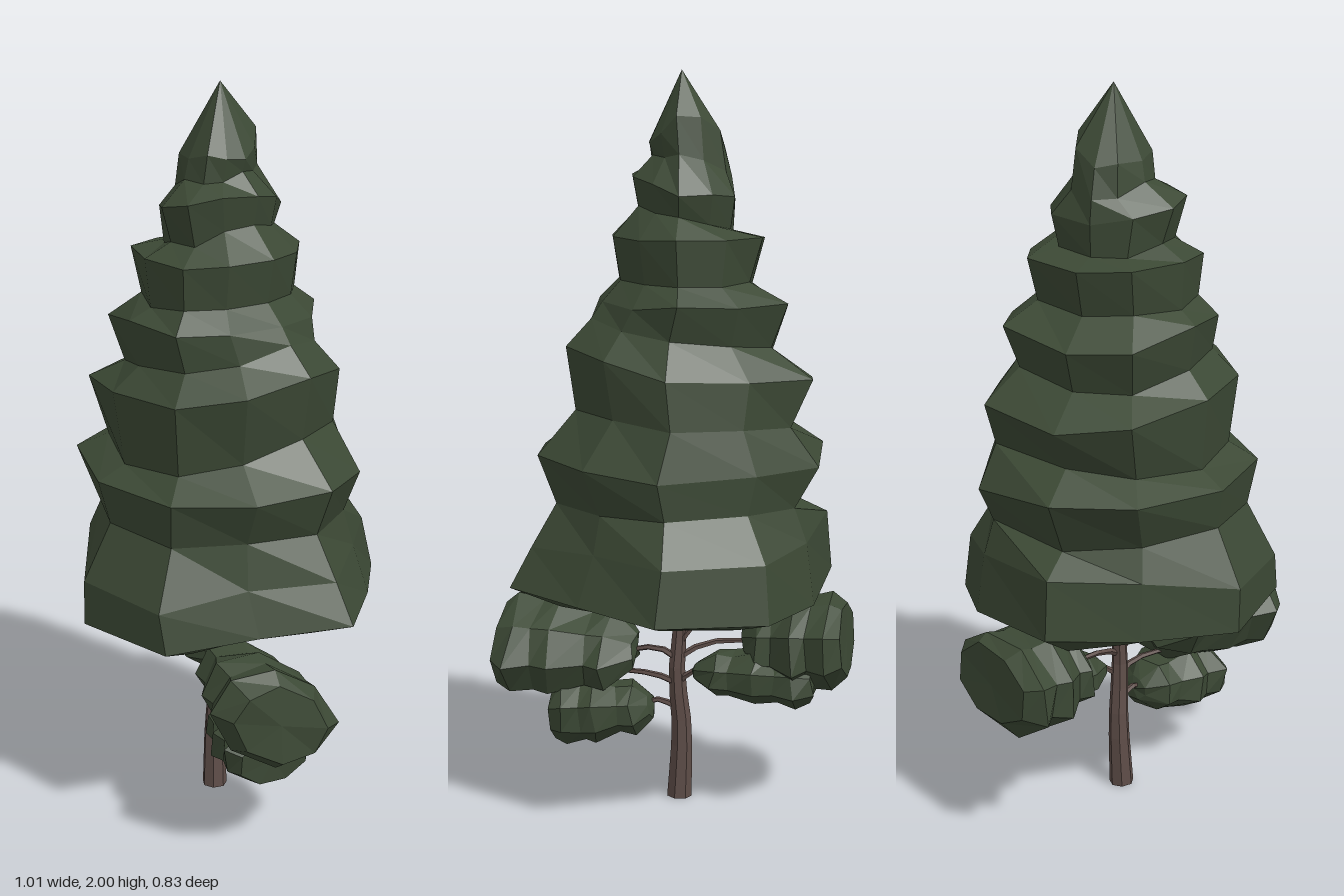
import * as THREE from 'three';

const foliage = new THREE.MeshStandardMaterial({ color: 0x3c4935 });
foliage.name = 'dark green foliage';
const bark = new THREE.MeshStandardMaterial({ color: 0x5e4d48 });
bark.name = 'brown bark';

// Repeatable small variation between -1 and 1
function makeNoise(seed) {
  let s = seed;
  return () => {
    s = (s * 16807) % 2147483647;
    return (s / 2147483647) * 2 - 1;
  };
}

// Faceted closed skin over a start point, loops of equal length and an end point
function loft(start, rings, end) {
  const n = rings[0].length;
  const points = [start, ...rings.flat(), end];
  const last = points.length - 1;
  const index = [];
  for (let i = 0; i < n; i++) {
    const j = (i + 1) % n;
    index.push(0, 1 + j, 1 + i);
    for (let r = 0; r < rings.length - 1; r++) {
      const a = 1 + r * n, b = a + n;
      index.push(a + i, a + j, b + i, a + j, b + j, b + i);
    }
    const e = last - n;
    index.push(e + i, e + j, last);
  }
  const indexed = new THREE.BufferGeometry();
  indexed.setAttribute('position', new THREE.Float32BufferAttribute(points.flat(), 3));
  indexed.setIndex(index);
  const geometry = indexed.toNonIndexed();
  geometry.computeVertexNormals();
  return geometry;
}

function add(group, name, geometry, material) {
  const mesh = new THREE.Mesh(geometry, material);
  mesh.name = name;
  group.add(mesh);
  return mesh;
}

// Main crown: height and reach of each tier at +x, +z, -x and -z, and fullness of its diagonal corners
const tiers = [
  [1.82, 0.08, 1.82, 0.09, 1.80, 0.13, 1.88, 0.09, 1.1],
  [1.77, 0.07, 1.76, 0.10, 1.72, 0.15, 1.77, 0.10, 1.1],
  [1.73, 0.125, 1.70, 0.18, 1.66, 0.16, 1.67, 0.17, 1.1],
  [1.65, 0.11, 1.60, 0.15, 1.58, 0.155, 1.61, 0.15, 1.12],
  [1.57, 0.18, 1.57, 0.22, 1.56, 0.245, 1.56, 0.22, 1.14],
  [1.45, 0.16, 1.45, 0.21, 1.43, 0.21, 1.45, 0.21, 1.12],
  [1.39, 0.21, 1.40, 0.26, 1.37, 0.31, 1.40, 0.27, 1.16],
  [1.35, 0.24, 1.28, 0.24, 1.25, 0.27, 1.30, 0.24, 1.14],
  [1.28, 0.31, 1.22, 0.305, 1.18, 0.385, 1.21, 0.30, 1.18],
  [1.10, 0.285, 1.03, 0.285, 1.06, 0.315, 1.08, 0.31, 1.15],
  [1.00, 0.39, 0.98, 0.355, 0.99, 0.42, 0.95, 0.335, 1.15],
  [0.86, 0.34, 0.87, 0.335, 0.85, 0.34, 0.86, 0.33, 1.12],
  [0.75, 0.41, 0.71, 0.41, 0.80, 0.435, 0.74, 0.40, 0.99],
  [0.63, 0.47, 0.59, 0.41, 0.63, 0.45, 0.59, 0.42, 0.99],
  [0.58, 0.33, 0.54, 0.26, 0.55, 0.31, 0.55, 0.27, 1],
];
const outline = [
  [1, 0], [0.72, 0.52], [0.4, 1], [-0.27, 1], [-0.73, 0.53],
  [-1, 0], [-0.65, -0.67], [-0.27, -0.97], [0.4, -1], [0.71, -0.52],
];

function crownGeometry() {
  const noise = makeNoise(17);
  const rings = tiers.map(([yR, xR, yF, zF, yL, xL, yB, zB, fullness]) =>
    outline.map(([u, v]) => {
      const wx = u * u, wz = v * v;
      const yx = u > 0 ? yR : yL, yz = v > 0 ? yF : yB;
      const y = (yx * wx + yz * wz) / (wx + wz) + noise() * 0.01;
      const diagonal = Math.min(Math.abs(u), Math.abs(v)) > 0.5;
      const k = diagonal ? fullness + noise() * 0.03 : 1;
      return [u * (u > 0 ? xR : xL) * k, y, v * (v > 0 ? zF : zB) * k];
    }));
  return loft([-0.01, 2, 0], rings, [0, 0.5, 0]);
}

// Low side cluster: a lumpy mass growing outwards; [distance, size] along its length
const lumps = [[0.03, 0.35], [0.2, 0.78], [0.34, 0.76], [0.56, 1.02], [0.7, 0.92], [0.86, 1.02], [1, 0.78]];

function clusterGeometry(length, width, height, seed) {
  const noise = makeNoise(seed), sides = 8;
  const rings = lumps.map(([s, k]) => Array.from({ length: sides }, (_, i) => {
    const a = ((i + 0.5) / sides) * Math.PI * 2;
    const r = k * (1.04 + noise() * 0.08);
    return [length * (s + noise() * 0.03), Math.cos(a) * height * r, Math.sin(a) * width * r];
  }));
  return loft([0, 0, 0], rings, [length, 0, 0]);
}

// Tapered limb along a smooth path
function limbGeometry(path, r0, r1, sides, steps) {
  const curve = new THREE.CatmullRomCurve3(path.map((p) => new THREE.Vector3(...p)));
  const geometry = new THREE.TubeGeometry(curve, steps, 1, sides, false);
  const pos = geometry.attributes.position, v = new THREE.Vector3();
  for (let i = 0; i < pos.count; i++) {
    const t = Math.floor(i / (sides + 1)) / steps;
    const c = curve.getPointAt(t);
    v.fromBufferAttribute(pos, i).sub(c).multiplyScalar(r0 + (r1 - r0) * t).add(c);
    pos.setXYZ(i, v.x, v.y, v.z);
  }
  const flat = geometry.toNonIndexed();
  flat.computeVertexNormals();
  return flat;
}

export function createModel() {
  const tree = new THREE.Group();
  tree.name = 'coniferTree';
  add(tree, 'crown', crownGeometry(), foliage);

  // Trunk with a closed foot
  add(tree, 'trunk', limbGeometry(
    [[-0.01, 0, 0.025], [-0.015, 0.2, 0.018], [0, 0.36, 0.015], [-0.01, 0.5, 0.015], [-0.01, 0.6, 0.01]],
    0.035, 0.016, 7, 8), bark);
  const foot = add(tree, 'trunkFoot', new THREE.CircleGeometry(0.034, 7), bark);
  foot.rotation.x = Math.PI / 2;
  foot.position.set(-0.01, 0.001, 0.025);

  // Side clusters: start, end, half width, half height, roll
  const clusters = [
    ['upperLeftCluster', [0.1, 0.42, 0.06], [0.44, 0.43, 0.25], 0.165, 0.12, -0.5],
    ['lowerLeftCluster', [0.06, 0.265, 0.03], [0.32, 0.245, 0.14], 0.125, 0.09, 0],
    ['upperRightCluster', [-0.18, 0.455, -0.03], [-0.43, 0.465, -0.17], 0.19, 0.125, 0],
    ['lowerRightCluster', [-0.03, 0.375, -0.03], [-0.33, 0.37, -0.19], 0.115, 0.075, 0],
  ];
  clusters.forEach(([name, a, b, width, height, roll], i) => {
    const dx = b[0] - a[0], dy = b[1] - a[1], dz = b[2] - a[2];
    const mesh = add(tree, name, clusterGeometry(Math.hypot(dx, dy, dz), width, height, 31 + i * 977), foliage);
    mesh.position.set(...a);
    mesh.rotation.set(roll, Math.atan2(-dz, dx), Math.atan2(dy, Math.hypot(dx, dz)), 'YXZ');
  });

  // Thin branches reaching into the clusters and crown
  const branches = [
    [[0, 0.4, 0.01], [0.05, 0.43, 0.03], [0.15, 0.41, 0.09]],
    [[0, 0.33, 0.01], [0.06, 0.355, 0.03], [0.17, 0.36, 0.1]],
    [[0, 0.26, 0.015], [0.05, 0.28, 0.035], [0.1, 0.26, 0.05]],
    [[0, 0.33, 0.01], [-0.04, 0.37, -0.02], [-0.09, 0.37, -0.06]],
    [[0, 0.4, 0.01], [-0.08, 0.44, 0], [-0.22, 0.45, -0.05]],
    [[-0.005, 0.44, 0.01], [-0.04, 0.49, 0], [-0.09, 0.53, -0.02]],
  ];
  branches.forEach((path, i) => add(tree, `branch${i + 1}`, limbGeometry(path, 0.01, 0.006, 5, 4), bark));
  return tree;
}
